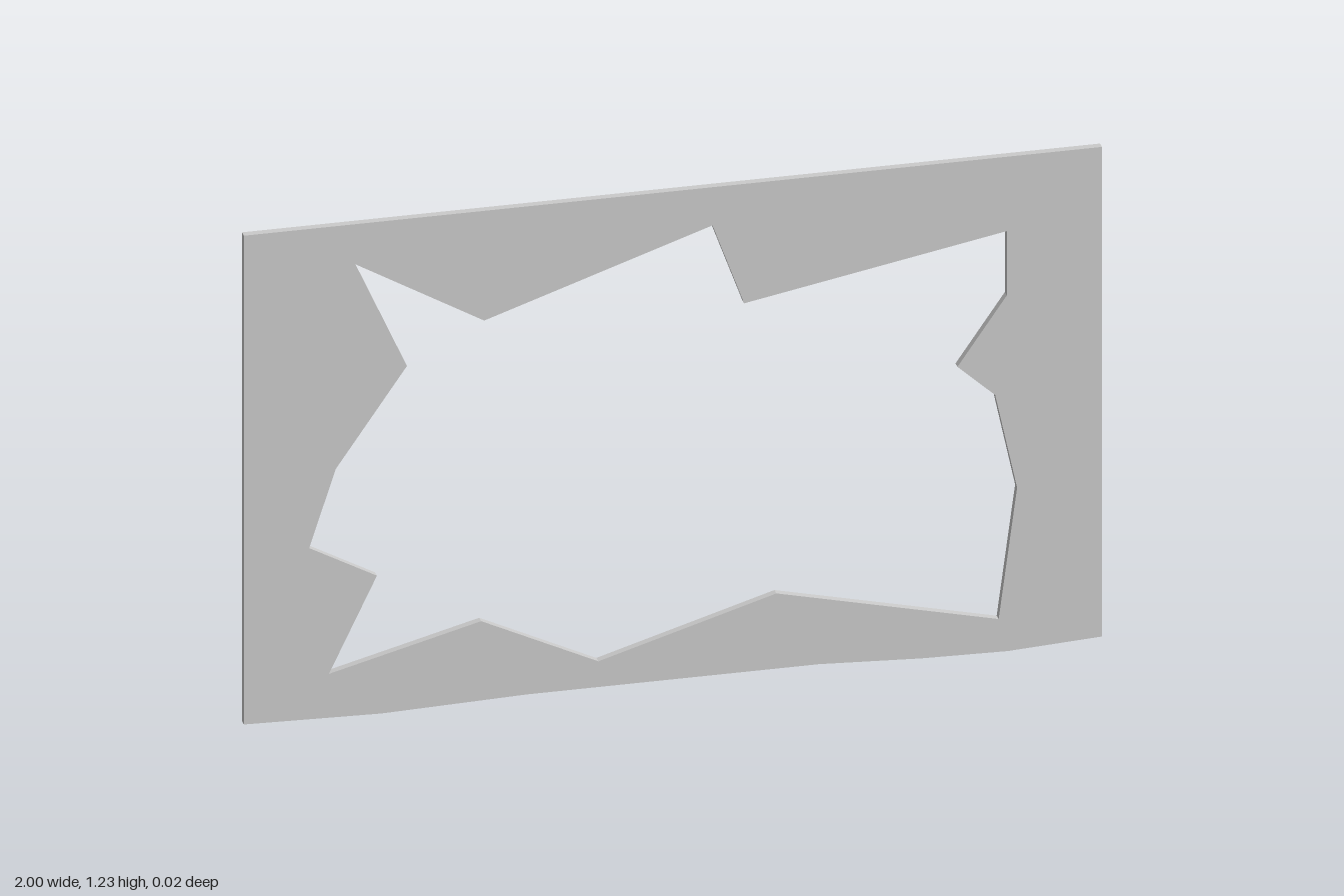
import * as THREE from 'three';

const DEPTH = 0.019;

// Outer edge: straight sides and top, slightly wavy bottom
const outline = [
  [-1, 0.014], [-0.68, 0.006], [-0.34, 0.016], [0.34, 0.016],
  [0.58, 0.004], [0.78, 0], [1, 0.012], [1, 1.23], [-1, 1.23],
];

// Jagged opening
const opening = [
  [-0.74, 1.13], [-0.44, 0.957], [0.092, 1.135], [0.166, 0.933], [0.778, 1.045],
  [0.778, 0.885], [0.663, 0.72], [0.751, 0.64], [0.802, 0.404], [0.759, 0.082],
  [0.241, 0.203], [-0.174, 0.08], [-0.447, 0.21], [-0.802, 0.118], [-0.69, 0.35],
  [-0.848, 0.436], [-0.786, 0.626], [-0.62, 0.864],
];

const toPoints = (list) => list.map(([x, y]) => new THREE.Vector2(x, y));

export function createModel() {
  const group = new THREE.Group();
  group.name = 'brokenPanel';

  // Thin flat panel with the opening cut through it
  const shape = new THREE.Shape(toPoints(outline));
  shape.holes.push(new THREE.Path(toPoints(opening)));
  const geometry = new THREE.ExtrudeGeometry(shape, { depth: DEPTH, bevelEnabled: false });
  geometry.translate(0, 0, -DEPTH / 2);

  const material = new THREE.MeshStandardMaterial({ color: 0xcccccc, flatShading: true });
  const panel = new THREE.Mesh(geometry, material);
  panel.name = 'jaggedFrame';
  group.add(panel);
  return group;
}
